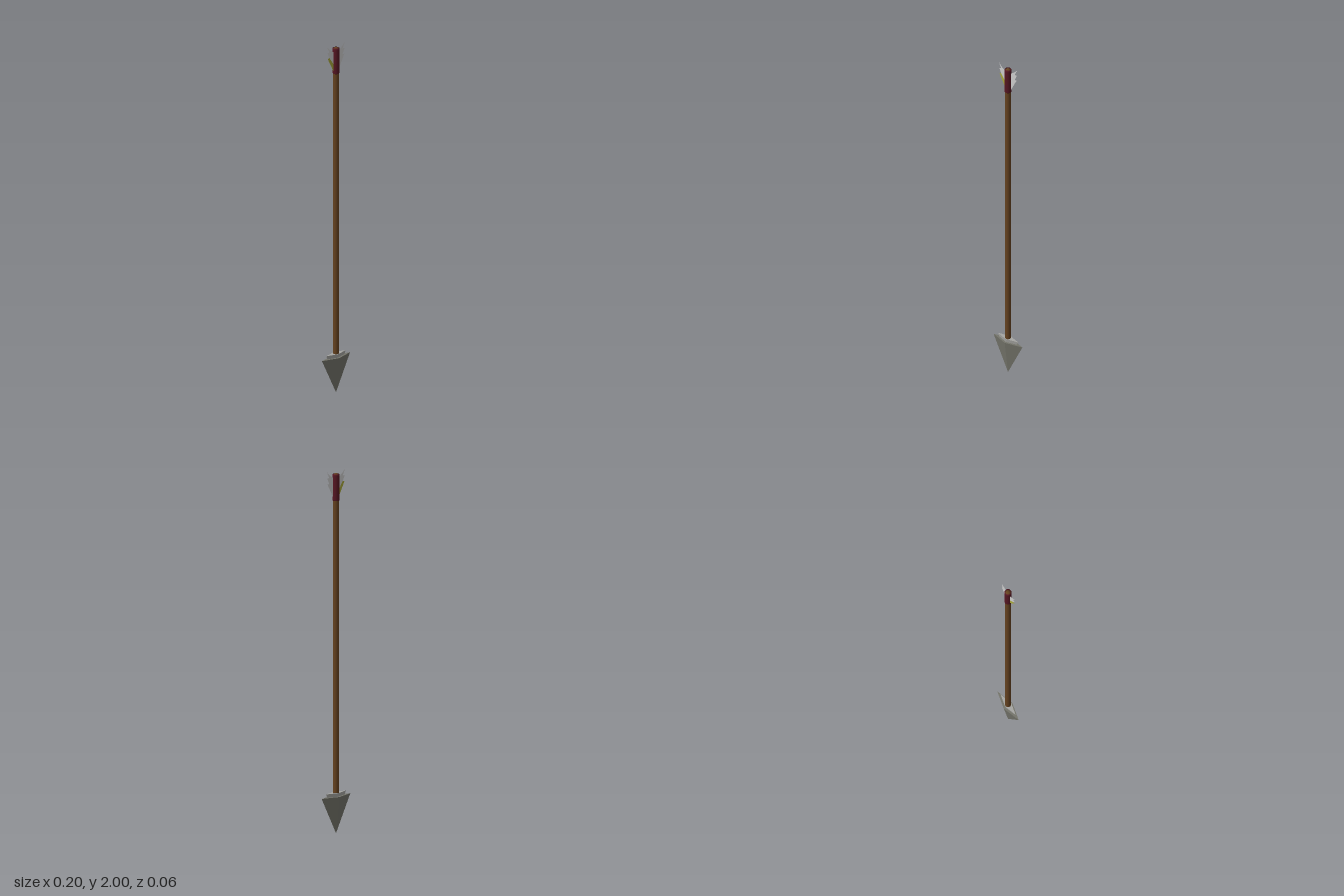
import * as THREE from 'three';

const material = (color, options = {}) => {
  const m = new THREE.MeshStandardMaterial(options);
  m.color.set(color);
  return m;
};

const v2 = (points) => points.map(([x, y]) => new THREE.Vector2(x, y));

export function createModel() {
  const arrow = new THREE.Group();
  arrow.name = 'arrow';

  const add = (name, geometry, mat) => {
    const mesh = new THREE.Mesh(geometry, mat);
    mesh.name = name;
    arrow.add(mesh);
    return mesh;
  };

  // Four-sided point with its tip down and a flat diamond top
  const diamondPoint = (name, halfWidth, halfDepth, top, height, color) => {
    const g = new THREE.CylinderGeometry(1, 0, height, 4);
    g.scale(halfWidth, 1, halfDepth);
    g.translate(0, top - height / 2, 0);
    add(name, g, material(color, { flatShading: true }));
  };
  diamondPoint('arrowHead', 0.1, 0.028, 0.205, 0.205, 0x74746a);
  diamondPoint('headCollar', 0.07, 0.0195, 0.225, 0.14, 0xa6a6a2);

  // Wooden shaft with a rounded end
  const shaft = [[0, 0.15], [0.016, 0.15], [0.016, 1.97]];
  for (let i = 1; i <= 6; i++) {
    const a = (i / 6) * Math.PI / 2;
    shaft.push([0.016 * Math.cos(a), 1.97 + 0.016 * Math.sin(a)]);
  }
  add('shaft', new THREE.LatheGeometry(v2(shaft), 24), material(0x64411f));

  // Wrapped sleeve that holds the feathers
  const sleeve = [[0.016, 1.835], [0.0195, 1.839], [0.0195, 1.973], [0.0185, 1.98], [0.015, 1.982]];
  add('sleeve', new THREE.LatheGeometry(v2(sleeve), 24), material(0x561622, { side: THREE.DoubleSide }));

  // Three swept barbs on each side, lowest first
  const roots = [1.835, 1.88, 1.92, 1.955];
  const tips = [[0.059, 1.932], [0.061, 1.965], [0.063, 2.0]];
  const notches = [[0.035, 1.884], [0.047, 1.934], [0.047, 1.966], [0.042, 1.978]];
  const white = material(0xcccccc, { side: THREE.DoubleSide });
  const yellow = material(0xa8a83a, { side: THREE.DoubleSide });
  for (const side of [-1, 1]) {
    tips.forEach((tip, i) => {
      const outline = [[0.01, roots[i]], notches[i], tip, notches[i + 1], [0.01, roots[i + 1]]];
      const shape = new THREE.Shape(v2(outline.map(([x, y]) => [side * x, y])));
      const name = `${side > 0 ? 'left' : 'right'}FeatherBarb${i + 1}`;
      add(name, new THREE.ShapeGeometry(shape), side < 0 && i === 0 ? yellow : white);
    });
  }

  return arrow;
}
